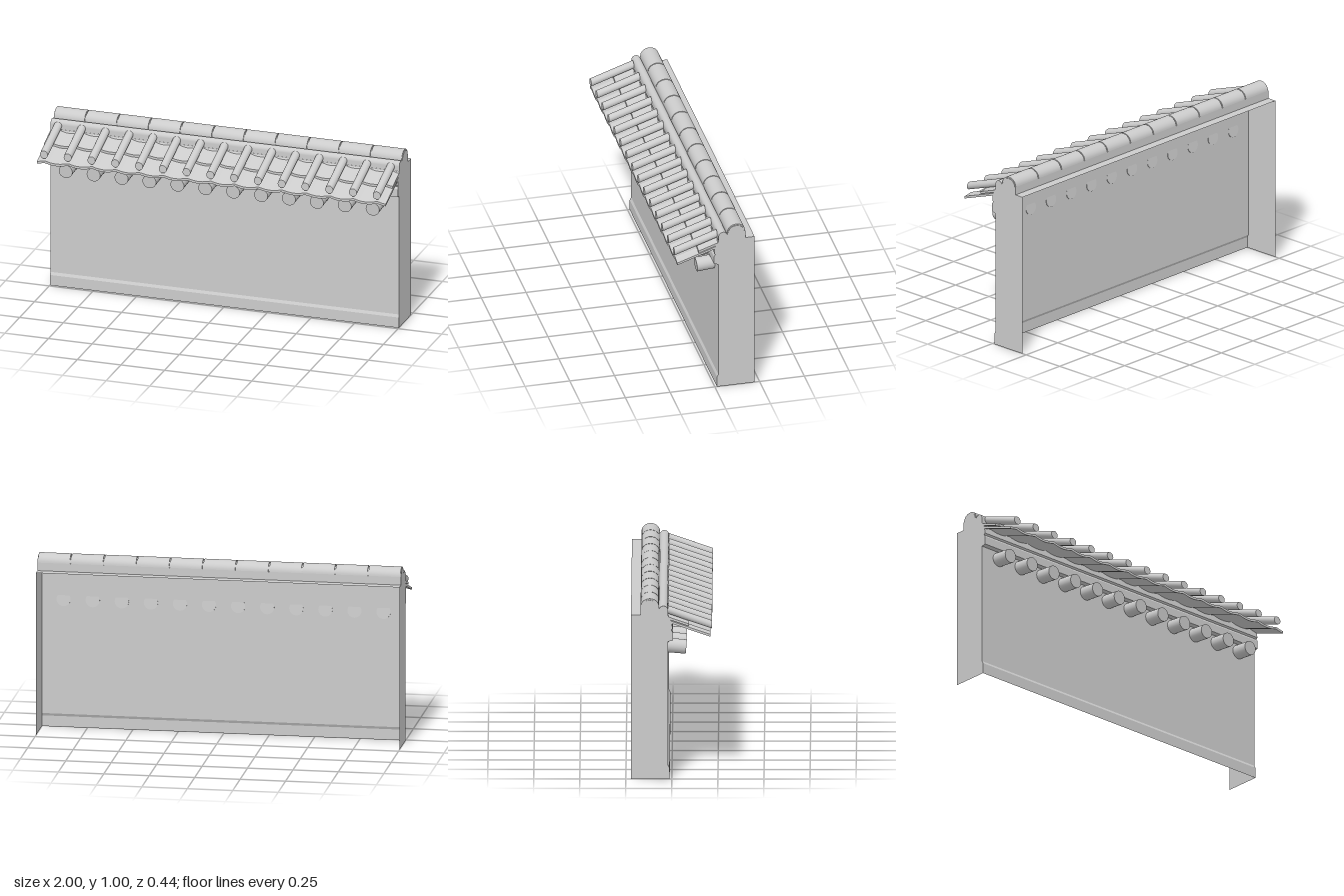
import * as THREE from 'three';

const grey = new THREE.MeshStandardMaterial({ color: 0xcccccc, side: THREE.DoubleSide });

const RIBS = 15, RIB_STEP = 0.1363, RIB_X0 = -0.957;
const BEAMS = 12, BEAM_STEP = 0.16;
const CAPS = 11, SLOPE = 0.345;

function add(parent, name, geometry) {
  const mesh = new THREE.Mesh(geometry, grey);
  mesh.name = name;
  parent.add(mesh);
  return mesh;
}

// Open sheet: a [z, y] profile swept along x
function sheet(profile, width, smooth = false) {
  let g = new THREE.PlaneGeometry(width, 1, 1, profile.length - 1);
  const p = g.attributes.position;
  for (let i = 0; i < p.count; i++) {
    const [z, y] = profile[Math.floor(i / 2)];
    p.setXYZ(i, p.getX(i), y, z);
  }
  if (!smooth) g = g.toNonIndexed();
  g.computeVertexNormals();
  return g;
}

// Flat end plate filling a [z, y] profile
function endPlate(profile, x) {
  const shape = new THREE.Shape(profile.map(([z, y]) => new THREE.Vector2(z, y)));
  return new THREE.ShapeGeometry(shape).rotateY(-Math.PI / 2).translate(x, 0, 0);
}

// Half ellipse from front to back
function arch(zc, y, rz, ry, n = 12) {
  return Array.from({ length: n + 1 }, (_, i) => {
    const a = Math.PI * i / n;
    return [zc + rz * Math.cos(a), y + ry * Math.sin(a)];
  });
}

// Tilt a part down towards the front, keeping its ends upright
function shear(g) {
  const p = g.attributes.position;
  for (let i = 0; i < p.count; i++) p.setY(i, p.getY(i) - SLOPE * (p.getZ(i) + 0.02));
  g.computeVertexNormals();
  return g;
}

// One course of pan tiles, sagging between the ribs
function panCourse(z0, z1, y) {
  const sag = 0.012, thick = 0.013, n = 120, top = [], bottom = [];
  for (let i = 0; i <= n; i++) {
    const x = -1 + 2 * i / n;
    const u = (x - RIB_X0) / RIB_STEP, t = u - Math.floor(u);
    const h = y - 4 * sag * t * (1 - t);
    top.push(new THREE.Vector2(x, h));
    bottom.unshift(new THREE.Vector2(x, h - thick));
  }
  const g = new THREE.ExtrudeGeometry(new THREE.Shape([...top, ...bottom]),
    { depth: z1 - z0, bevelEnabled: false });
  return shear(g.translate(0, 0, z0));
}

export function createModel() {
  const model = new THREE.Group();
  model.name = 'tiledWall';

  // Wall: front sheet with skirting, two sides, back open
  const front = [[-0.02, 0.91], [-0.02, 0.075], [-0.012, 0.06], [-0.012, 0]];
  const wall = new THREE.Group();
  wall.name = 'wall';
  model.add(wall);
  add(wall, 'wallFront', sheet(front, 2));
  for (const x of [-1, 1]) add(wall, 'wallSide', endPlate([...front, [-0.222, 0], [-0.222, 0.91]], x));
  add(wall, 'backLedge', sheet([[-0.222, 0.91], [-0.168, 0.91]], 2));

  // Moulding below the eave
  const moulding = [[-0.02, 0.905], [0, 0.87], [0.003, 0.835], [-0.003, 0.825], [0.005, 0.813],
    [0.005, 0.768], [-0.02, 0.763]];
  add(model, 'moulding', sheet(moulding, 2));
  for (const x of [-1, 1]) add(model, 'mouldingEnd', endPlate(moulding, x));

  // Round beam ends
  const beams = new THREE.Group();
  beams.name = 'beams';
  model.add(beams);
  for (let i = 0; i < BEAMS; i++) {
    const beam = add(beams, 'beam', new THREE.CylinderGeometry(0.039, 0.039, 0.1, 24));
    beam.rotation.x = Math.PI / 2 + 0.085;
    beam.position.set((i - (BEAMS - 1) / 2) * BEAM_STEP, 0.714, 0.028);
  }

  // Roof: two courses of pans with round ribs over the joints
  const roof = new THREE.Group();
  roof.name = 'roof';
  model.add(roof);
  add(roof, 'upperPans', panCourse(-0.022, 0.09, 0.91));
  add(roof, 'lowerPans', panCourse(-0.02, 0.21, 0.892));
  for (let i = 0; i < RIBS; i++) {
    const g = new THREE.CylinderGeometry(0.0225, 0.0225, 0.238, 16).rotateX(Math.PI / 2);
    g.translate(RIB_X0 + i * RIB_STEP, 0.931, 0.099);
    add(roof, 'rib', shear(g));
  }

  // Front ridge roll
  const roll = [[-0.021, 0.91], ...arch(-0.046, 0.935, 0.025, 0.025), [-0.071, 0.91]];
  add(model, 'ridgeRoll', sheet(roll, 2, true));
  for (const x of [-1, 1]) add(model, 'ridgeRollEnd', endPlate(roll, x));

  // Main ridge: continuous core with separate cap tiles
  const core = [[-0.07, 0.91], [-0.07, 0.955], ...arch(-0.12, 0.955, 0.044, 0.037), [-0.17, 0.955], [-0.17, 0.91]];
  add(model, 'ridgeCore', sheet(core, 2));
  for (const x of [-1, 1]) add(model, 'ridgeEnd', endPlate(core, x));
  const cap = arch(-0.12, 0.955, 0.05, 0.045, 16), pitch = 2 / CAPS, half = pitch / 2 - 0.003;
  for (let i = 0; i < CAPS; i++) {
    const tile = new THREE.Group();
    tile.name = 'ridgeCap';
    tile.position.x = (i - (CAPS - 1) / 2) * pitch;
    add(tile, 'capTop', sheet(cap, 2 * half, true));
    for (const x of [-half, half]) add(tile, 'capEnd', endPlate(cap, x));
    model.add(tile);
  }
  return model;
}
